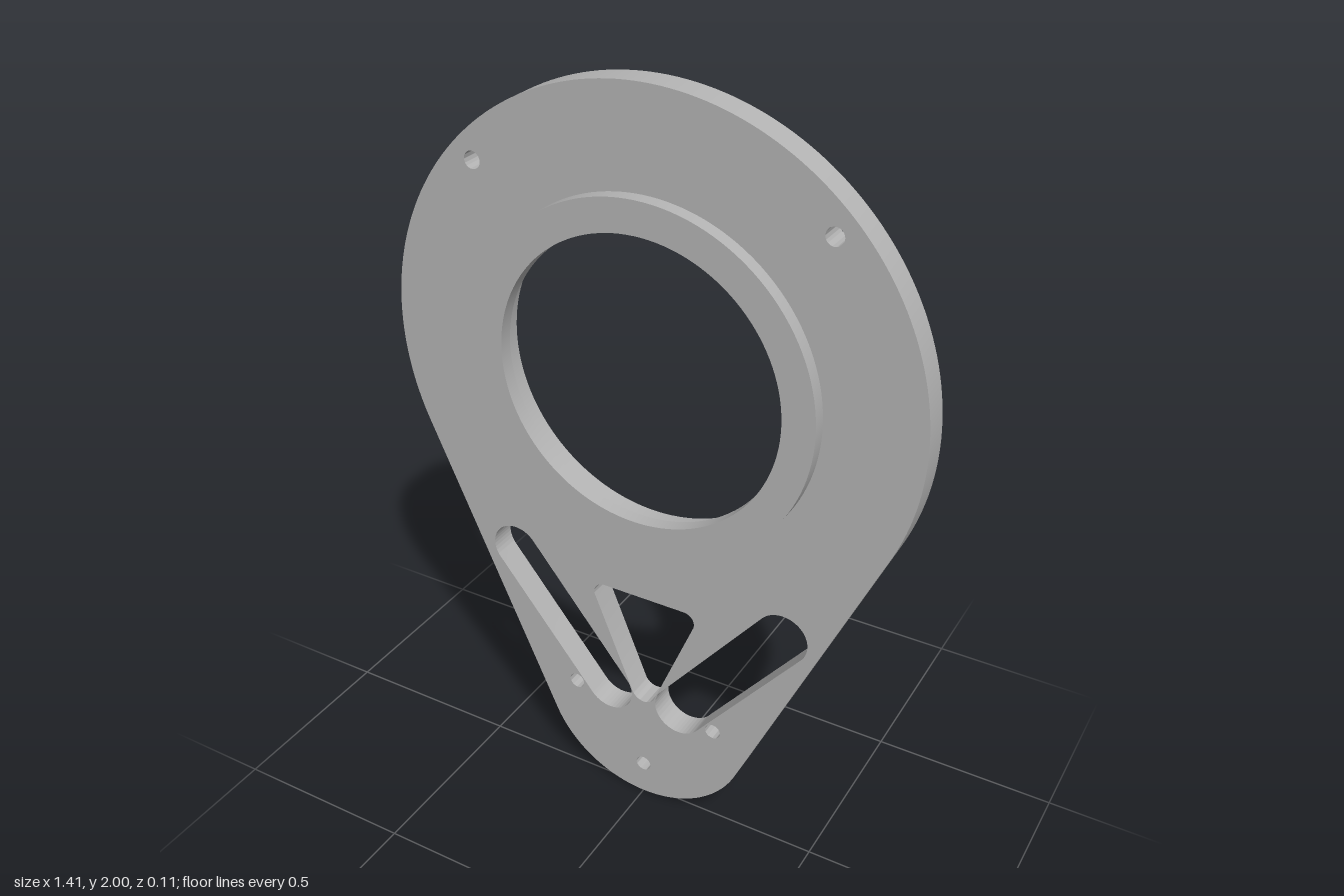
import * as THREE from 'three';
import { toCreasedNormals } from 'three/addons/utils/BufferGeometryUtils.js';

const BACK = -0.055, STEP = 0.018, FRONT = 0.055;
const CENTER_Y = 1.295;

// Closed outline wrapped like a belt around circles [x, y, r], listed counter-clockwise
function belt(circles, path) {
  const n = circles.length;
  const normals = circles.map(([x, y, r], i) => {
    const [x2, y2, r2] = circles[(i + 1) % n];
    const dx = x2 - x, dy = y2 - y;
    return Math.atan2(dy, dx) - Math.acos((r - r2) / Math.hypot(dx, dy));
  });
  circles.forEach(([x, y, r], i) => {
    path.absarc(x, y, r, normals[(i + n - 1) % n], normals[i], false);
  });
  path.closePath();
  return path;
}

function circle(x, y, r, path) {
  return path.absarc(x, y, r, 0, Math.PI * 2, false);
}

function slab(name, shape, z0, z1, material) {
  const extruded = new THREE.ExtrudeGeometry(shape, {
    depth: z1 - z0, bevelEnabled: false, curveSegments: 64,
  });
  const mesh = new THREE.Mesh(toCreasedNormals(extruded, 0.5), material);
  mesh.name = name;
  mesh.position.z = z0;
  return mesh;
}

export function createModel() {
  const group = new THREE.Group();
  group.name = 'mountingPlate';
  const grey = new THREE.MeshStandardMaterial({ color: 0xb4b4b4 });
  grey.name = 'grey metal';

  // Teardrop plate
  const plate = belt([[0, 0.305, 0.305], [0, CENTER_Y, 0.705]], new THREE.Shape());

  // Wide rear bore and bottom screw hole
  plate.holes.push(circle(0, CENTER_Y, 0.405, new THREE.Path()));
  plate.holes.push(circle(0, 0.1, 0.022, new THREE.Path()));

  // Mirrored screw holes and diagonal slots
  for (const s of [-1, 1]) {
    plate.holes.push(circle(s * 0.455, 1.75, 0.022, new THREE.Path()));
    plate.holes.push(circle(s * 0.21, 0.308, 0.022, new THREE.Path()));
    plate.holes.push(belt([[s * 0.106, 0.331, 0.07], [s * 0.39, 0.685, 0.07]], new THREE.Path()));
  }

  // Rounded triangular window
  plate.holes.push(belt(
    [[0, 0.358, 0.036], [0.118, 0.635, 0.03], [-0.118, 0.635, 0.03]], new THREE.Path()));
  group.add(slab('plate', plate, BACK, STEP, grey));

  // Raised front ring, whose narrower bore leaves a ledge at the back
  const ring = circle(0, CENTER_Y, 0.458, new THREE.Shape());
  ring.holes.push(circle(0, CENTER_Y, 0.375, new THREE.Path()));
  group.add(slab('frontRing', ring, STEP, FRONT, grey));

  return group;
}
